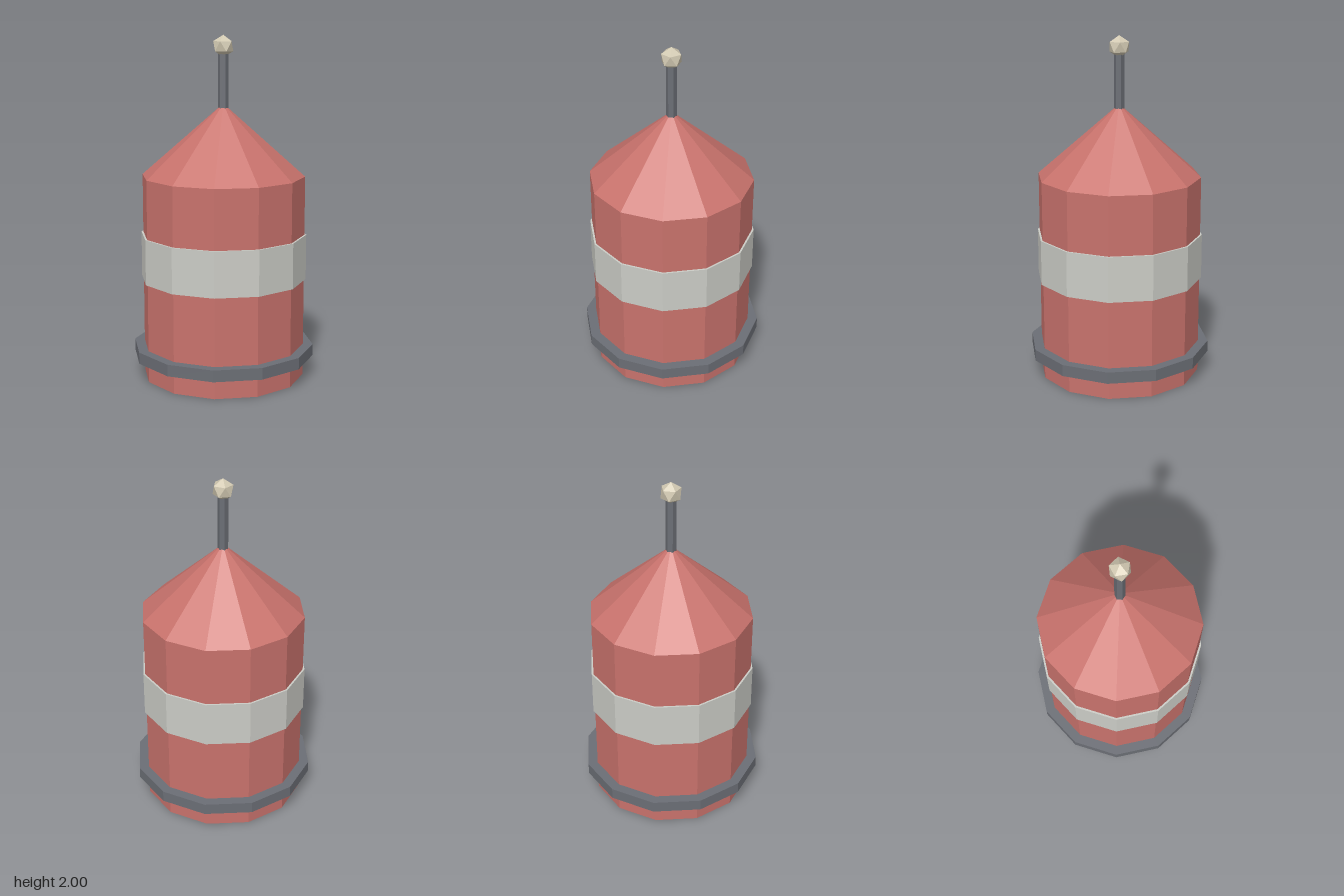
import * as THREE from 'three';

export function createModel() {
  const model = new THREE.Group();
  model.name = 'buoy';

  const material = (name, color) => {
    const m = new THREE.MeshStandardMaterial({ color, flatShading: true });
    m.name = name;
    return m;
  };
  const red = material('red paint', 0xc8726c);
  const white = material('white paint', 0xcbccc6);
  const grey = material('dark grey metal', 0x6b6e75);
  const cream = material('cream lamp', 0xd2c9b2);

  const add = (name, geometry, mat, y) => {
    const mesh = new THREE.Mesh(geometry, mat);
    mesh.name = name;
    mesh.position.y = y;
    model.add(mesh);
    return mesh;
  };
  // Upright prism or cone between two heights
  const drum = (name, mat, y0, y1, rTop, rBottom = rTop, sides = 12) =>
    add(name, new THREE.CylinderGeometry(rTop, rBottom, y1 - y0, sides), mat, (y0 + y1) / 2);

  // Twelve-sided float with its fender and painted band
  drum('body', red, 0, 1.193, 0.475);
  drum('fenderRing', grey, 0.12, 0.188, 0.533);
  drum('band', white, 0.585, 0.85, 0.486);

  // Conical roof, open underneath where it meets the body
  add('coneTop', new THREE.ConeGeometry(0.475, 0.417, 12, 1, true), red, 1.193 + 0.417 / 2);

  // Mast and lamp; the lamp is tilted to stand on one corner
  drum('mast', grey, 1.57, 1.91, 0.03, 0.03, 6);
  const lamp = new THREE.IcosahedronGeometry(0.064, 0);
  lamp.rotateZ(-Math.atan(2 / (1 + Math.sqrt(5))));
  add('lamp', lamp, cream, 1.936);

  return model;
}
